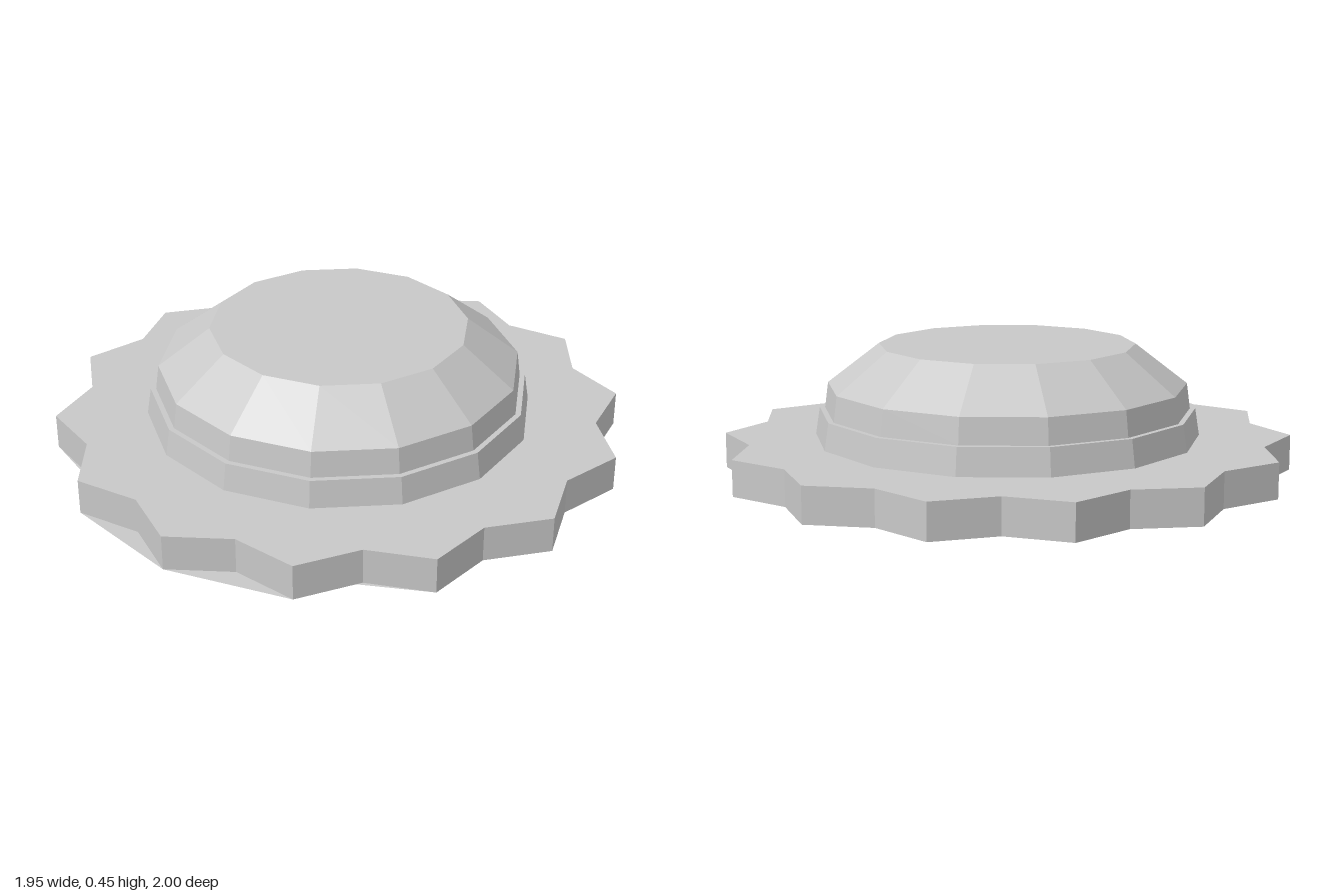
import * as THREE from 'three';

const SIDES = 14;
const BASE_TOP = 0.125;
const TIP = 1, NOTCH = 0.905;

// Point k of the star outline, counted in half steps from the front tip
function starPoint(k) {
  const a = (k * Math.PI) / SIDES;
  const r = k % 2 === 0 ? TIP : NOTCH;
  return new THREE.Vector2(r * Math.sin(a), r * Math.cos(a));
}

export function createModel() {
  const group = new THREE.Group();
  const grey = new THREE.MeshStandardMaterial({ color: 0xc8c8c8, flatShading: true, side: THREE.DoubleSide });
  grey.name = 'grey';

  const add = (name, geometry) => {
    const mesh = new THREE.Mesh(geometry, grey);
    mesh.name = name;
    group.add(mesh);
  };

  // Fourteen-pointed base plate
  const outline = Array.from({ length: SIDES * 2 }, (_, k) => starPoint(k));
  const base = new THREE.ExtrudeGeometry(new THREE.Shape(outline), { depth: BASE_TOP, bevelEnabled: false });
  base.rotateX(-Math.PI / 2);
  add('starBase', base);

  // Flat webs closing the front notches on the underside
  const webs = [
    [starPoint(0), starPoint(1), starPoint(2)],
    [starPoint(4), starPoint(3), new THREE.Vector2(0.552, 0.726)],
  ];
  for (const side of [1, -1]) {
    for (const web of webs) {
      const shape = new THREE.Shape(web.map((p) => new THREE.Vector2(p.x * side, p.y)));
      add('undersideWeb', new THREE.ShapeGeometry(shape).rotateX(Math.PI / 2));
    }
  }

  // Faceted tiers, each a profile of [radius, height] turned around y
  const tiers = {
    lowerTier: [[0.678, BASE_TOP], [0.663, 0.22], [0.6, 0.22]],
    upperTier: [[0.644, 0.22], [0.632, 0.31]],
    slopedCrown: [[0.632, 0.31], [0.45, 0.45]],
  };
  for (const [name, profile] of Object.entries(tiers)) {
    const points = profile.map(([r, y]) => new THREE.Vector2(r, y));
    add(name, new THREE.LatheGeometry(points, SIDES));
  }

  // Flat top
  const cap = new THREE.CircleGeometry(0.45, SIDES, Math.PI / 2);
  cap.rotateX(-Math.PI / 2).translate(0, 0.45, 0);
  add('flatTop', cap);

  return group;
}
